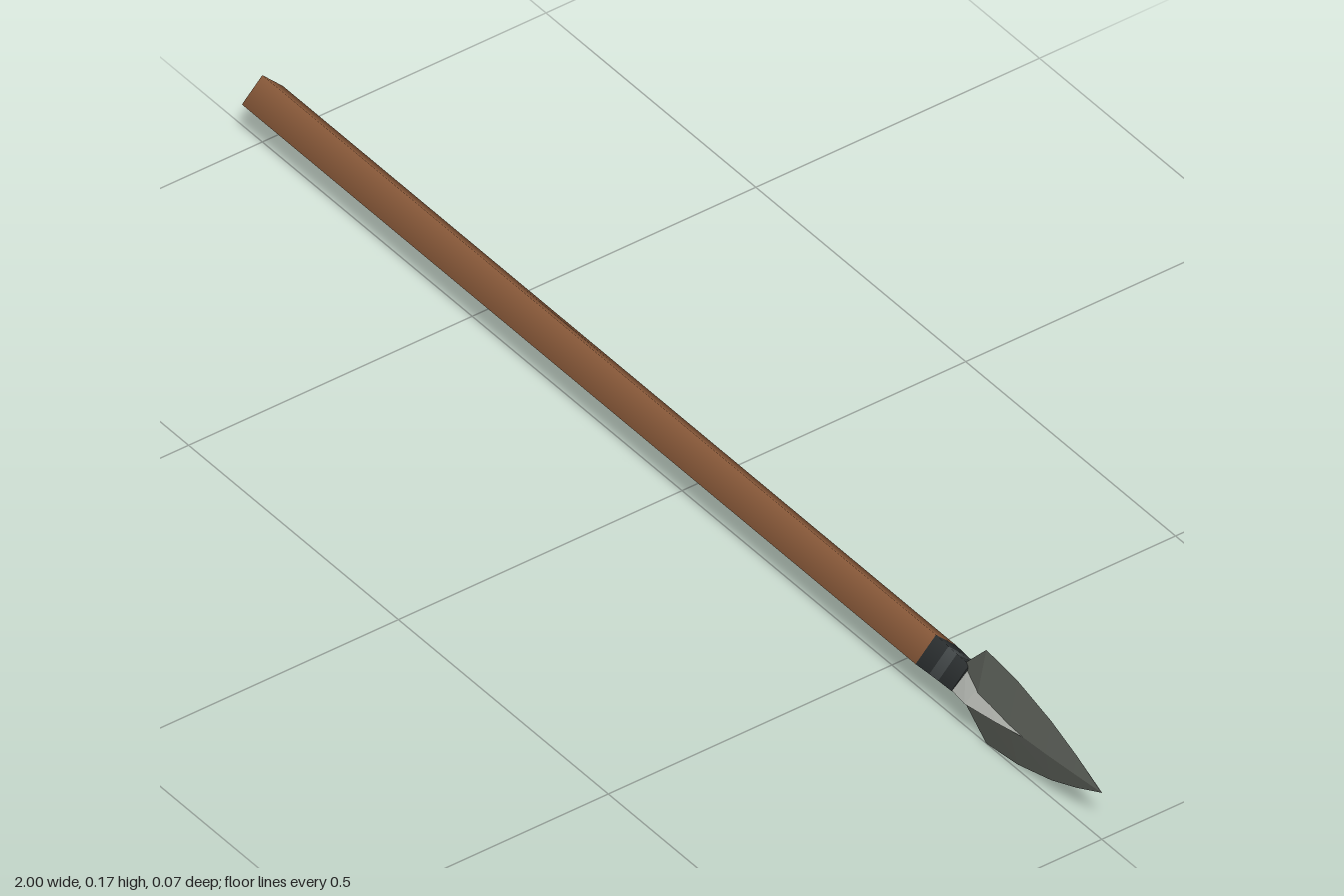
import * as THREE from 'three';

const AXIS_Y = 0.088;

const paint = (name, color) => {
  const m = new THREE.MeshStandardMaterial({ color });
  m.name = name;
  return m;
};

// Diamond-section loft along x; each section is [x, half height, half depth]
function diamondLoft(sections, flat) {
  const n = sections.length - 1;
  let geo = new THREE.CylinderGeometry(1, 1, 1, 4, n);
  geo.rotateZ(-Math.PI / 2);
  const p = geo.attributes.position;
  for (let i = 0; i < p.count; i++) {
    const [x, h, d] = sections[Math.round((p.getX(i) + 0.5) * n)];
    p.setXYZ(i, x, p.getY(i) * h, p.getZ(i) * d);
  }
  if (flat) {
    geo = geo.toNonIndexed();
    geo.computeVertexNormals();
  }
  return geo;
}

export function createModel() {
  const group = new THREE.Group();
  group.name = 'spear';

  const wood = paint('brown wood', 0x8a5a3a);
  const binding = paint('black binding', 0x2b2f30);
  const cord = paint('dark grey cord', 0x434849);
  const stone = paint('dark grey stone', 0x5a5e57);
  const pale = paint('pale grey stone', 0xa2a59f);

  const add = (name, material, sections, flat = false) => {
    const mesh = new THREE.Mesh(diamondLoft(sections, flat), material);
    mesh.name = name;
    mesh.position.y = AXIS_Y;
    group.add(mesh);
  };

  // Square wooden shaft standing on its corner, with soft shading
  add('shaft', wood, [[-1, 0.036, 0.036], [0.605, 0.036, 0.036]]);

  // Binding between shaft and head
  add('rearBinding', binding, [[0.605, 0.036, 0.036], [0.635, 0.034, 0.034]]);
  add('cordBinding', cord, [[0.635, 0.034, 0.034], [0.655, 0.033, 0.033]]);
  add('frontBinding', binding, [[0.655, 0.033, 0.033], [0.685, 0.032, 0.032]]);

  // Leaf-shaped blade with swept-back barbs
  add('blade', stone, [
    [0.675, 0.03, 0.018],
    [0.725, 0.084, 0.018],
    [0.8, 0.075, 0.016],
    [0.88, 0.053, 0.011],
    [0.94, 0.029, 0.006],
    [1, 0.0005, 0.0005],
  ], true);

  // Raised central ridge tapering into the blade
  add('ridge', pale, [
    [0.675, 0.026, 0.03],
    [0.72, 0.025, 0.035],
    [0.78, 0.016, 0.025],
    [0.85, 0.001, 0.01],
  ], true);

  return group;
}
